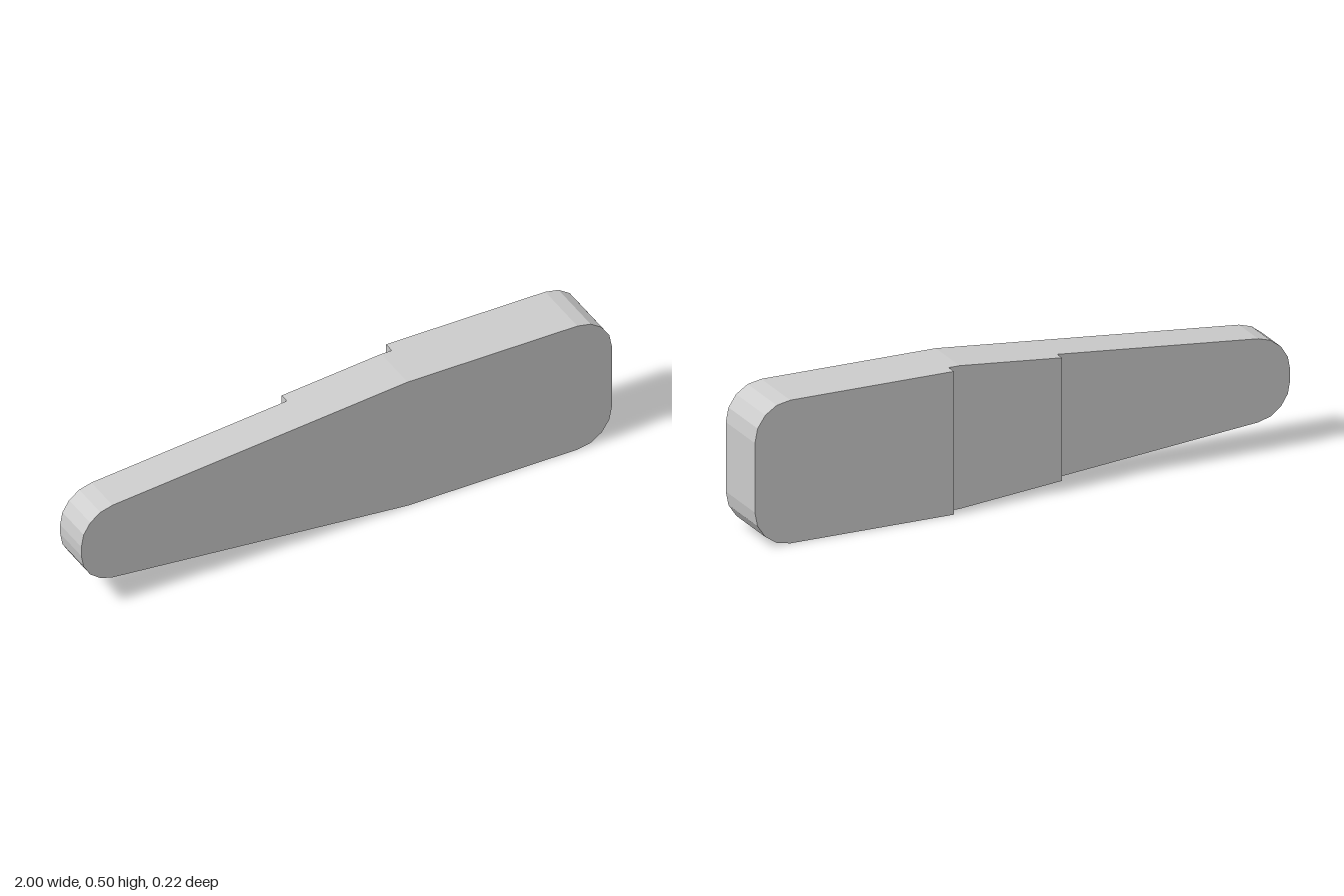
import * as THREE from 'three';

const MID = 0.2525, FRONT = 0.109, R = 0.13, SEGMENTS = 4;
const KNEE = 0.23, TIP_Y = 0.1475, TIP_X = -0.882;
const SLOPE = (MID - TIP_Y) / (KNEE - TIP_X);

// Stations along the bar: [x, half height, back z]
function stations() {
  const list = [];
  // rounded narrow end
  const sweep = Math.PI / 2 - Math.atan(SLOPE);
  const cy = TIP_Y - R * Math.sin(sweep);
  for (let i = 0; i <= SEGMENTS; i++) {
    const a = (sweep * i) / SEGMENTS;
    list.push([-1 + R - R * Math.cos(a), cy + R * Math.sin(a), -0.035]);
  }
  // taper and the two steps in the back
  const stepHalf = MID - SLOPE * (KNEE + 0.145);
  list.push([-0.145, stepHalf, -0.035], [-0.145, stepHalf, -0.07]);
  list.push([KNEE, MID, -0.07], [0.27, MID, -0.07], [0.27, MID, -0.109]);
  // rounded wide end
  for (let i = 0; i <= SEGMENTS; i++) {
    const a = (Math.PI / 2) * (1 - i / SEGMENTS);
    list.push([1 - R + R * Math.cos(a), MID - R + R * Math.sin(a), -0.109]);
  }
  return list;
}

// Rectangular cross-sections joined in a loop, with both ends capped
function barGeometry() {
  const rings = stations().map(([x, h, back]) => [
    [x, MID + h, FRONT], [x, MID + h, back], [x, MID - h, back], [x, MID - h, FRONT],
  ]);
  const positions = [];
  const quad = (a, b, c, d) => positions.push(...a, ...b, ...c, ...a, ...c, ...d);
  for (let i = 0; i < rings.length - 1; i++) {
    const p = rings[i], q = rings[i + 1];
    const isStep = p[0][0] === q[0][0];
    for (let k = 0; k < 4; k++) {
      if (isStep && k !== 1) continue; // a step only has its wall
      const n = (k + 1) % 4;
      quad(p[k], q[k], q[n], p[n]);
    }
  }
  const first = rings[0], last = rings[rings.length - 1];
  quad(first[0], first[1], first[2], first[3]);
  quad(last[3], last[2], last[1], last[0]);
  const geometry = new THREE.BufferGeometry();
  geometry.setAttribute('position', new THREE.Float32BufferAttribute(positions, 3));
  geometry.computeVertexNormals();
  return geometry;
}

export function createModel() {
  const group = new THREE.Group();
  group.name = 'steppedBar';
  const lightGrey = new THREE.MeshStandardMaterial({ color: 0xcccccc });
  lightGrey.name = 'lightGrey';
  const bar = new THREE.Mesh(barGeometry(), lightGrey);
  bar.name = 'taperedBar';
  group.add(bar);
  return group;
}
